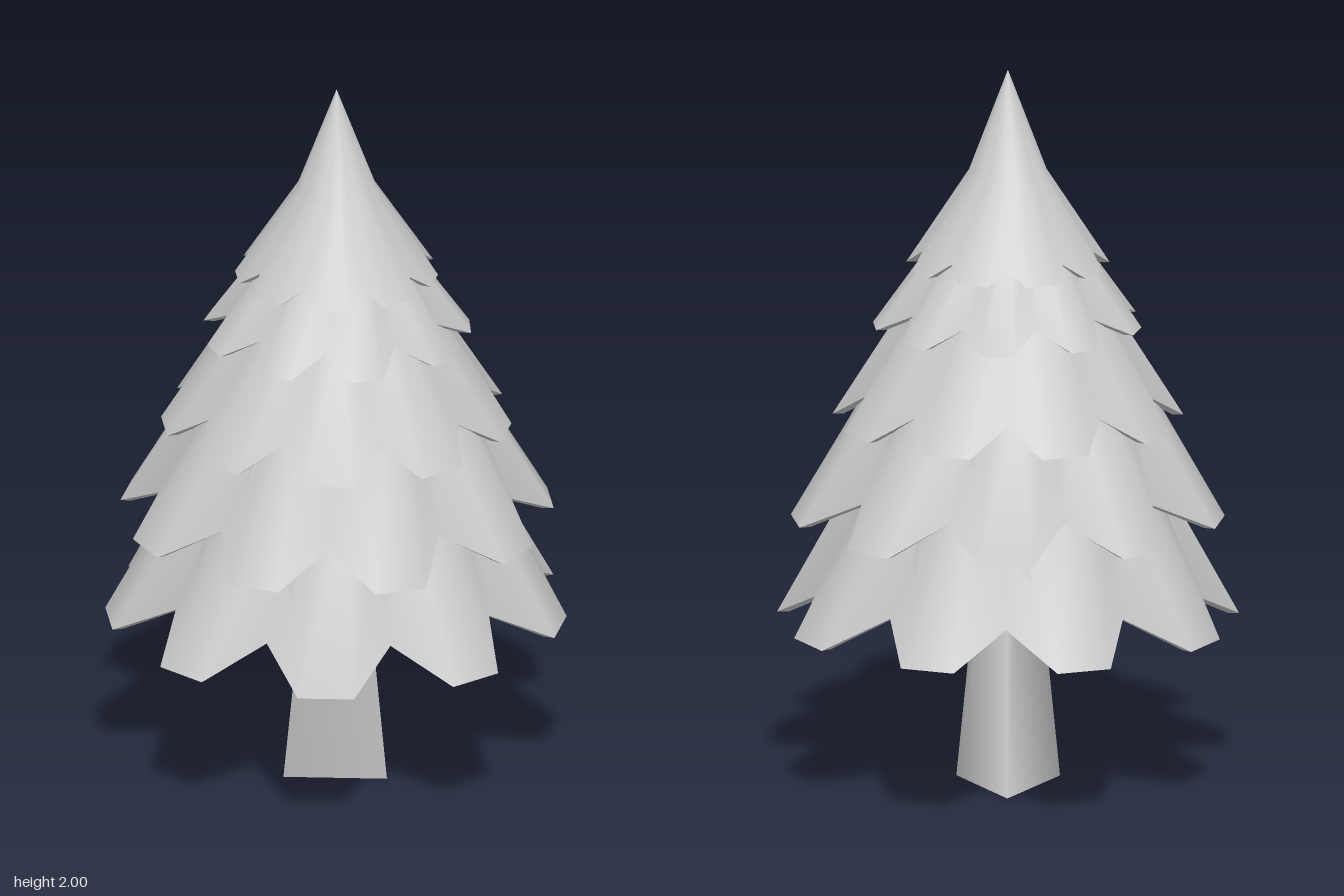
import * as THREE from 'three';
import { mergeGeometries } from 'three/addons/utils/BufferGeometryUtils.js';

const PETALS = 9;
const STEP = (Math.PI * 2) / PETALS;
const deg = Math.PI / 180;

// Skin a list of closed rings (arrays of Vector3), smooth along the surface
function loft(rings) {
  const n = rings[0].length;
  const pos = [], idx = [];
  rings.forEach(r => r.forEach(p => pos.push(p.x, p.y, p.z)));
  for (let k = 0; k < rings.length - 1; k++) {
    for (let i = 0; i < n; i++) {
      const j = (i + 1) % n;
      const a = k * n + i, b = k * n + j, c = a + n, d = b + n;
      idx.push(a, c, b, b, c, d);
    }
  }
  const g = new THREE.BufferGeometry();
  g.setAttribute('position', new THREE.Float32BufferAttribute(pos, 3));
  g.setIndex(idx);
  g.computeVertexNormals();
  return g;
}

const polar = (r, a, y) => new THREE.Vector3(r * Math.cos(a), y, r * Math.sin(a));

// Zigzag hem: one notch and two blunt tip corners for each petal
function hem(t, inset) {
  const ring = [];
  for (let i = 0; i < PETALS; i++) {
    const c = t.turn * deg + i * STEP;
    ring.push(
      polar(t.notch[0] - inset, c - STEP / 2, t.notch[1]),
      polar(t.tip[0] - inset, c - t.half * deg, t.tip[1]),
      polar(t.tip[0] - inset, c + t.half * deg, t.tip[1]));
  }
  return ring;
}

// Round ring whose points line up with the hem
function collar(t, [r, y], inset) {
  const ring = [];
  const radius = Math.max(r - inset, 0);
  for (let i = 0; i < PETALS; i++) {
    const c = t.turn * deg + i * STEP;
    for (const o of [-STEP / 2, -STEP / 6, STEP / 6]) ring.push(polar(radius, c + o, y));
  }
  return ring;
}

// Thick skirt: outer shell, underside rim and inner shell
function skirt(t) {
  const outer = [hem(t, 0), ...t.upper.map(p => collar(t, p, 0))];
  const inner = [hem(t, 0.03), ...t.upper.map(p => collar(t, p, 0.03))];
  return mergeGeometries([
    loft(outer),
    loft([inner[0], outer[0]]),
    loft(inner.slice().reverse())
  ]);
}

export function createModel() {
  const tree = new THREE.Group();
  tree.name = 'pineTree';
  const material = new THREE.MeshStandardMaterial({ color: 0xcccccc, side: THREE.DoubleSide });

  // Three-sided tapering trunk
  const trunk = new THREE.Mesh(
    new THREE.CylinderGeometry(0.05, 0.162, 1, 3, 1, false, Math.PI / 2), material);
  trunk.name = 'trunk';
  trunk.position.y = 0.5;
  tree.add(trunk);

  // Foliage tiers from bottom to top; pairs are [radius, height]
  const tiers = [
    { turn: 20, half: 7, tip: [0.626, 0.47], notch: [0.49, 0.56], upper: [[0.38, 0.92]] },
    { turn: 0, half: 7, tip: [0.588, 0.76], notch: [0.455, 0.84], upper: [[0.33, 1.2]] },
    { turn: 20, half: 8, tip: [0.475, 1.03], notch: [0.39, 1.1], upper: [[0.23, 1.42]] },
    { turn: 4, half: 7, tip: [0.365, 1.29], notch: [0.285, 1.34], upper: [[0.16, 1.58]] },
    { turn: 20, half: 9, tip: [0.275, 1.46], notch: [0.235, 1.5], upper: [[0.105, 1.72], [0, 2]] }
  ];
  tiers.forEach((t, i) => {
    const mesh = new THREE.Mesh(skirt(t), material);
    mesh.name = i === tiers.length - 1 ? 'treeTop' : 'foliageTier' + (i + 1);
    tree.add(mesh);
  });

  return tree;
}
